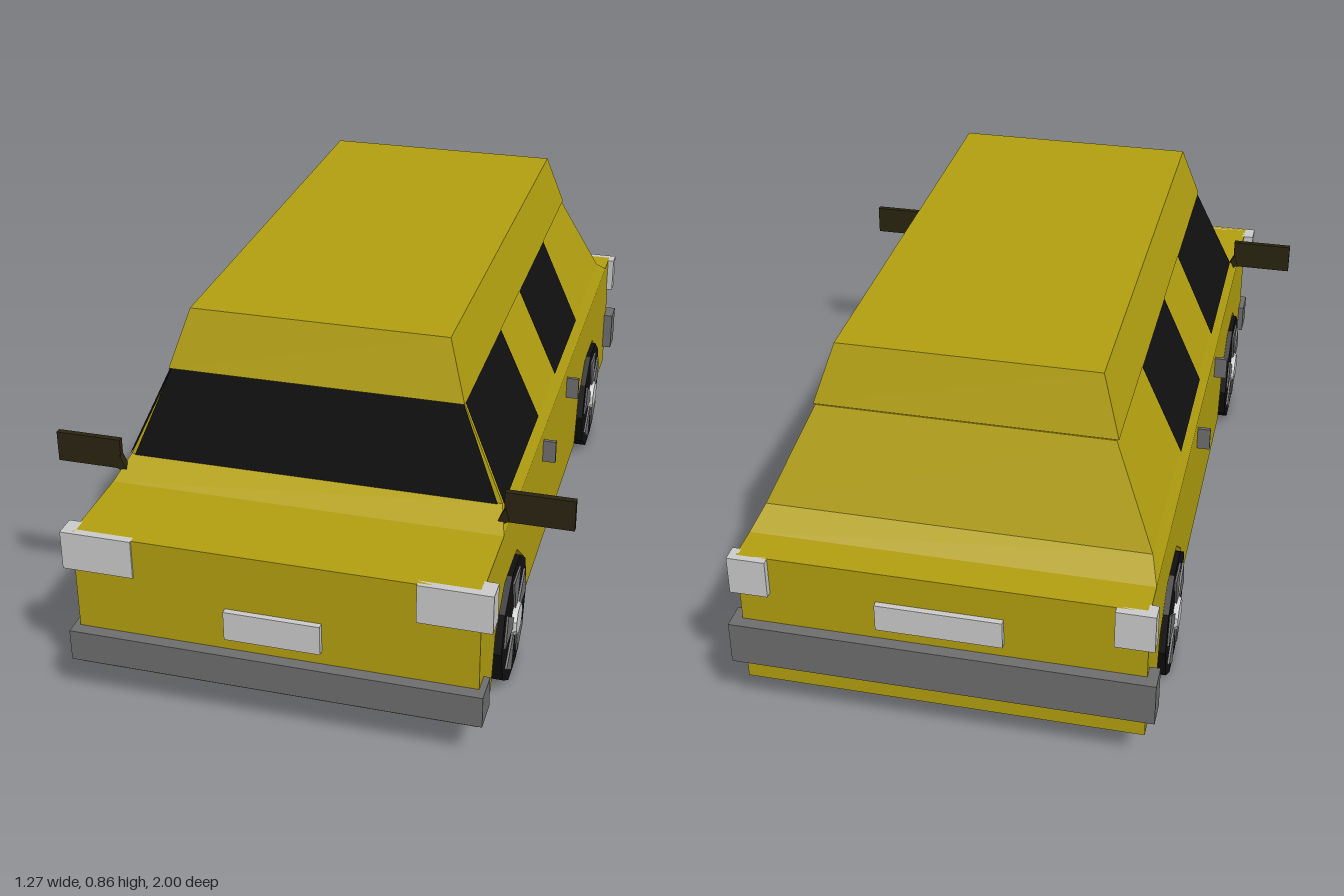
import * as THREE from 'three';

const mat = (color, side = THREE.FrontSide) =>
  new THREE.MeshStandardMaterial({ color, side, flatShading: true });

export function createModel() {
  const car = new THREE.Group();
  car.name = 'car';
  const paint = mat(0xb3a010), glass = mat(0x101010, THREE.DoubleSide), grey = mat(0xcccccc);
  const bumperGrey = mat(0x6e6e6e), rubber = mat(0x101010), mirrorPaint = mat(0x2a2410);

  const add = (name, geometry, material, parent = car) => {
    const mesh = new THREE.Mesh(geometry, material);
    mesh.name = name;
    parent.add(mesh);
    return mesh;
  };
  // Box given by its extents on each axis
  const box = (name, [x0, x1], [y0, y1], [z0, z1], material) => {
    const g = new THREE.BoxGeometry(Math.abs(x1 - x0), y1 - y0, z1 - z0);
    g.translate((x0 + x1) / 2, (y0 + y1) / 2, (z0 + z1) / 2);
    return add(name, g, material);
  };
  // Side profile of [z, y] points, extruded from x0 to x1
  const slab = (points, x0, x1) => {
    const shape = new THREE.Shape(points.map(p => new THREE.Vector2(...p)));
    const g = new THREE.ExtrudeGeometry(shape, { depth: x1 - x0, bevelEnabled: false });
    return g.rotateY(-Math.PI / 2).translate(x1, 0, 0);
  };
  // Rectangular rings [y, halfWidth, zFront, zBack] joined from bottom to top
  const loft = rings => {
    const v = [], idx = [];
    rings.forEach(([y, w, f, b]) => v.push(-w, y, f, w, y, f, w, y, b, -w, y, b));
    for (let r = 0; r < rings.length - 1; r++) {
      for (let i = 0; i < 4; i++) {
        const a = r * 4 + i, c = r * 4 + (i + 1) % 4;
        idx.push(a, c, c + 4, a, c + 4, a + 4);
      }
    }
    const t = (rings.length - 1) * 4;
    idx.push(t, t + 1, t + 2, t, t + 2, t + 3, 0, 2, 1, 0, 3, 2);
    return indexed(v, idx);
  };
  const indexed = (v, idx) => {
    const g = new THREE.BufferGeometry();
    g.setAttribute('position', new THREE.Float32BufferAttribute(v, 3));
    g.setIndex(idx);
    const flat = g.toNonIndexed();
    flat.computeVertexNormals();
    return flat;
  };
  const quad = (name, corners, flip = false) =>
    add(name, indexed(corners.flat(), flip ? [0, 2, 1, 0, 3, 2] : [0, 1, 2, 0, 2, 3]), glass);

  const axles = [0.62, -0.595];

  // Lower body: solid core with side slabs notched for the wheels
  box('bodyCore', [-0.33, 0.33], [0.09, 0.45], [-0.97, 0.97], paint);
  const profile = [[-0.97, 0.45], [-0.97, 0.09]];
  [...axles].reverse().forEach(z => {
    [[-0.21, 0.09], [-0.175, 0.22], [-0.075, 0.3], [0.075, 0.3], [0.175, 0.22], [0.21, 0.09]]
      .forEach(([dz, y]) => profile.push([z + dz, y]));
  });
  profile.push([0.97, 0.09], [0.97, 0.45]);
  add('bodySideLeft', slab(profile, 0.33, 0.48), paint);
  add('bodySideRight', slab(profile, -0.48, -0.33), paint);

  // Cabin, with the roof standing slightly proud of the glass line
  add('cabin', loft([[0.45, 0.48, 0.73, -0.88], [0.49, 0.46, 0.655, -0.815],
    [0.72, 0.355, 0.615, -0.72]]), paint);
  add('roof', loft([[0.722, 0.36, 0.63, -0.72], [0.865, 0.315, 0.585, -0.675]]), paint);

  // Windows
  quad('windscreen', [[-0.45, 0.49, 0.66], [0.45, 0.49, 0.66], [0.355, 0.722, 0.62], [-0.355, 0.722, 0.62]]);
  for (const s of [1, -1]) {
    const sideWindow = (name, f0, f1, b) => quad(name, [
      [s * 0.464, 0.49, f0], [s * 0.464, 0.49, b],
      [s * 0.359, 0.722, b], [s * 0.359, 0.722, f1]], s < 0);
    sideWindow('frontSideWindow', 0.655, 0.617, 0.21);
    sideWindow('rearSideWindow', -0.035, -0.035, -0.39);
  }

  // Bumpers and plates
  box('frontBumper', [-0.495, 0.495], [0.115, 0.195], [0.965, 1], bumperGrey);
  box('rearBumper', [-0.505, 0.505], [0.155, 0.265], [-1, -0.965], bumperGrey);
  box('frontPlate', [-0.115, 0.115], [0.23, 0.305], [0.965, 0.985], grey);
  box('rearPlate', [-0.15, 0.15], [0.3, 0.37], [-0.985, -0.965], grey);

  for (const s of [1, -1]) {
    const sx = (a, b) => [s * a, s * b];
    // Bumper ends
    box('frontBumperEnd', sx(0.475, 0.495), [0.115, 0.195], [0.92, 0.965], bumperGrey);
    box('rearBumperEnd', sx(0.475, 0.505), [0.155, 0.265], [-0.965, -0.935], bumperGrey);
    // Lamps wrapped around the corners
    box('headlamp', sx(0.335, 0.508), [0.352, 0.45], [0.955, 0.975], grey);
    box('headlampSide', sx(0.475, 0.508), [0.352, 0.45], [0.92, 0.955], grey);
    box('tailLamp', sx(0.405, 0.497), [0.352, 0.45], [-0.987, -0.965], grey);
    box('tailLampSide', sx(0.475, 0.497), [0.352, 0.45], [-0.965, -0.945], grey);
    // Door handles
    for (const z of [0.205, -0.163]) {
      box('doorHandle', sx(0.475, 0.513), [0.36, 0.42], [z - 0.005, z + 0.005], bumperGrey);
    }
    // Door mirror on a triangular foot
    box('mirror', sx(0.472, 0.636), [0.467, 0.545], [0.68, 0.695], mirrorPaint);
    const foot = new THREE.Shape([[0.45, 0.45], [0.485, 0.47], [0.475, 0.505]]
      .map(([x, y]) => new THREE.Vector2(s * x, y)));
    add('mirrorFoot', new THREE.ExtrudeGeometry(foot, { depth: 0.02, bevelEnabled: false })
      .translate(0, 0, 0.677), mirrorPaint);

    // Wheels: ten-sided tyre, five wedge spokes and a hub
    for (const z of axles) {
      const wheel = new THREE.Group();
      wheel.name = z > 0 ? 'frontWheel' : 'rearWheel';
      wheel.position.set(s * 0.33, 0.153, z);
      wheel.rotation.y = s * Math.PI / 2; // local +z points outward
      const tyre = new THREE.CylinderGeometry(0.158, 0.158, 0.163, 10);
      tyre.rotateX(Math.PI / 2).rotateZ(Math.PI / 10).translate(0, 0, 0.0815);
      // Keep a flat side at the top and bottom
      tyre.rotateZ(tyreTurn(tyre));
      add('tyre', tyre, rubber, wheel);
      for (let i = 0; i < 5; i++) {
        const mid = Math.PI / 2 + i * Math.PI * 0.4, h = Math.PI / 10;
        const at = (r, a) => new THREE.Vector2(r * Math.cos(a), r * Math.sin(a));
        const wedge = new THREE.Shape([at(0.04, mid - h), at(0.13, mid - h), at(0.13, mid + h), at(0.04, mid + h)]);
        add('spoke', new THREE.ExtrudeGeometry(wedge, { depth: 0.006, bevelEnabled: false })
          .translate(0, 0, 0.162), bumperGrey, wheel);
      }
      add('hub', new THREE.CylinderGeometry(0.038, 0.046, 0.014, 10)
        .rotateX(Math.PI / 2).translate(0, 0, 0.169), grey, wheel);
      car.add(wheel);
    }
  }
  return car;
}

// Turn needed so that no vertex sits on the vertical axis
function tyreTurn(g) {
  const p = g.attributes.position;
  for (let i = 0; i < p.count; i++) {
    if (Math.abs(p.getX(i)) < 1e-4 && Math.abs(p.getY(i)) > 0.1) return Math.PI / 10;
  }
  return 0;
}
